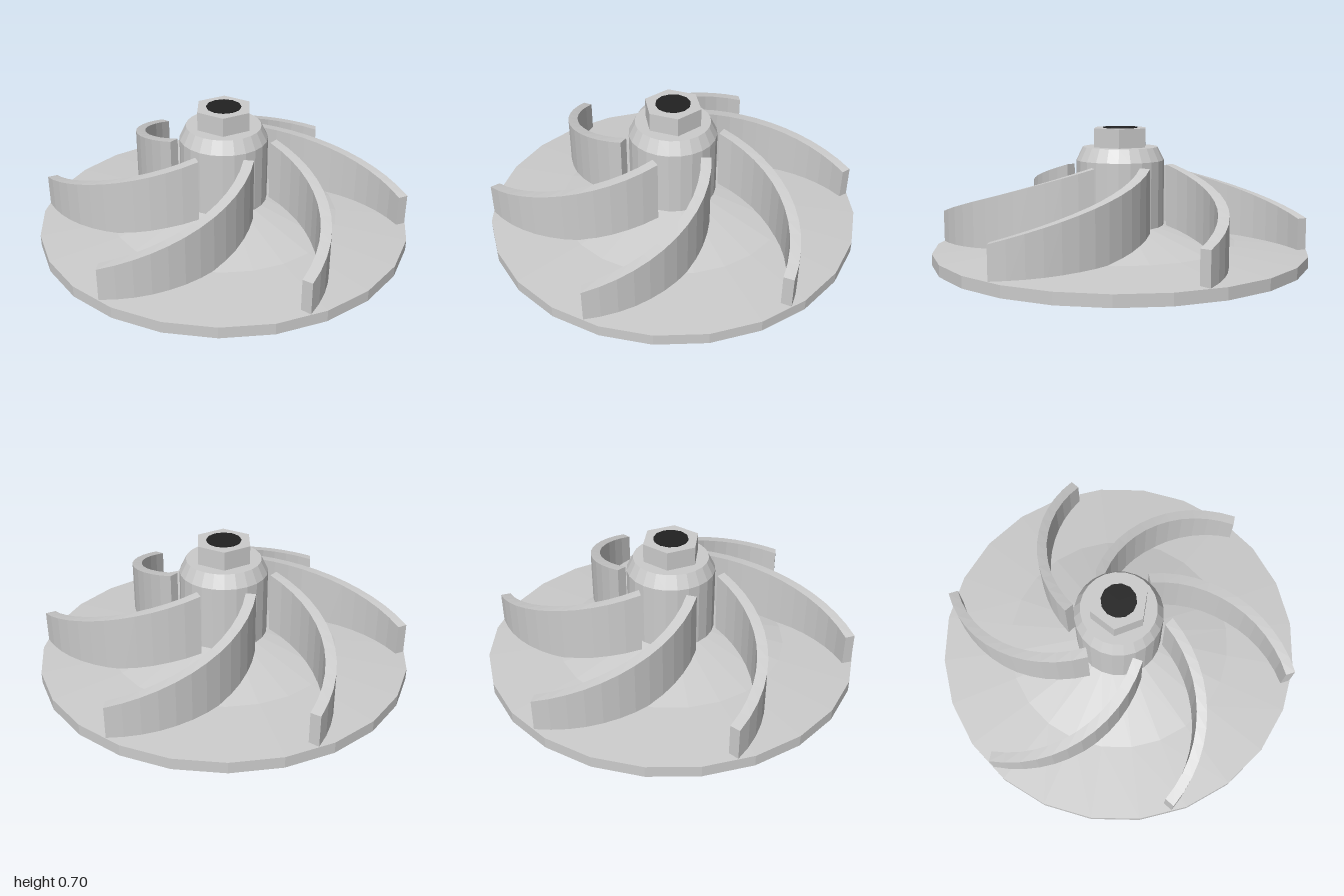
import * as THREE from 'three';

const metal = new THREE.MeshStandardMaterial({ color: 0xcccccc, flatShading: true });
const dark = new THREE.MeshStandardMaterial({ color: 0x222222, flatShading: true });

const BORE = 0.09;
const BLADES = 6;

function addMesh(parent, name, geometry, material = metal) {
  const mesh = new THREE.Mesh(geometry, material);
  mesh.name = name;
  parent.add(mesh);
  return mesh;
}

// Revolved base disc, sloping up into the hub, with a bore through the middle
function bodyGeometry() {
  const profile = [
    [BORE, 0], [1, 0], [1, 0.06], [0.62, 0.09], [0.235, 0.18],
    [0.235, 0.53], [0.2, 0.6], [BORE, 0.6], [BORE, 0],
  ].map(([r, y]) => new THREE.Vector2(r, y));
  return new THREE.LatheGeometry(profile, 24);
}

// Hexagonal nut with corners on +z and -z
function nutGeometry() {
  const corners = [];
  for (let i = 0; i < 6; i++) {
    const a = Math.PI / 2 + (i * Math.PI) / 3;
    corners.push(new THREE.Vector2(0.155 * Math.cos(a), 0.155 * Math.sin(a)));
  }
  const shape = new THREE.Shape(corners);
  shape.holes.push(new THREE.Path().absarc(0, 0, BORE, 0, Math.PI * 2, true));
  const geometry = new THREE.ExtrudeGeometry(shape, { depth: 0.1, bevelEnabled: false, curveSegments: 12 });
  return geometry.rotateX(-Math.PI / 2).translate(0, 0.6, 0);
}

// Box bent along a circular arc, its top falling from hub to rim
function bladeGeometry() {
  const geometry = new THREE.BoxGeometry(1, 1, 1, 12, 1, 1);
  const pos = geometry.attributes.position;
  const start = THREE.MathUtils.degToRad(-50.2);
  const end = THREE.MathUtils.degToRad(33);
  for (let i = 0; i < pos.count; i++) {
    const t = pos.getX(i) + 0.5;
    const angle = THREE.MathUtils.lerp(start, end, t);
    const radius = 0.672 - pos.getZ(i) * 0.054;
    const top = THREE.MathUtils.lerp(0.505, 0.23, t);
    pos.setXYZ(i,
      -0.166 + radius * Math.cos(angle),
      pos.getY(i) > 0 ? top : 0.03,
      0.515 + radius * Math.sin(angle));
  }
  geometry.computeVertexNormals();
  return geometry;
}

export function createModel() {
  const model = new THREE.Group();
  model.name = 'impeller';

  addMesh(model, 'discAndHub', bodyGeometry());
  addMesh(model, 'hexNut', nutGeometry());

  // Dark plug closing the top of the bore
  addMesh(model, 'borePlug', new THREE.CylinderGeometry(0.092, 0.092, 0.02, 12), dark).position.y = 0.695;

  // Ring of curved blades
  const blades = new THREE.Group();
  blades.name = 'blades';
  const blade = bladeGeometry();
  for (let i = 0; i < BLADES; i++) {
    addMesh(blades, `blade${i + 1}`, blade).rotation.y = (i * Math.PI * 2) / BLADES;
  }
  model.add(blades);

  return model;
}
